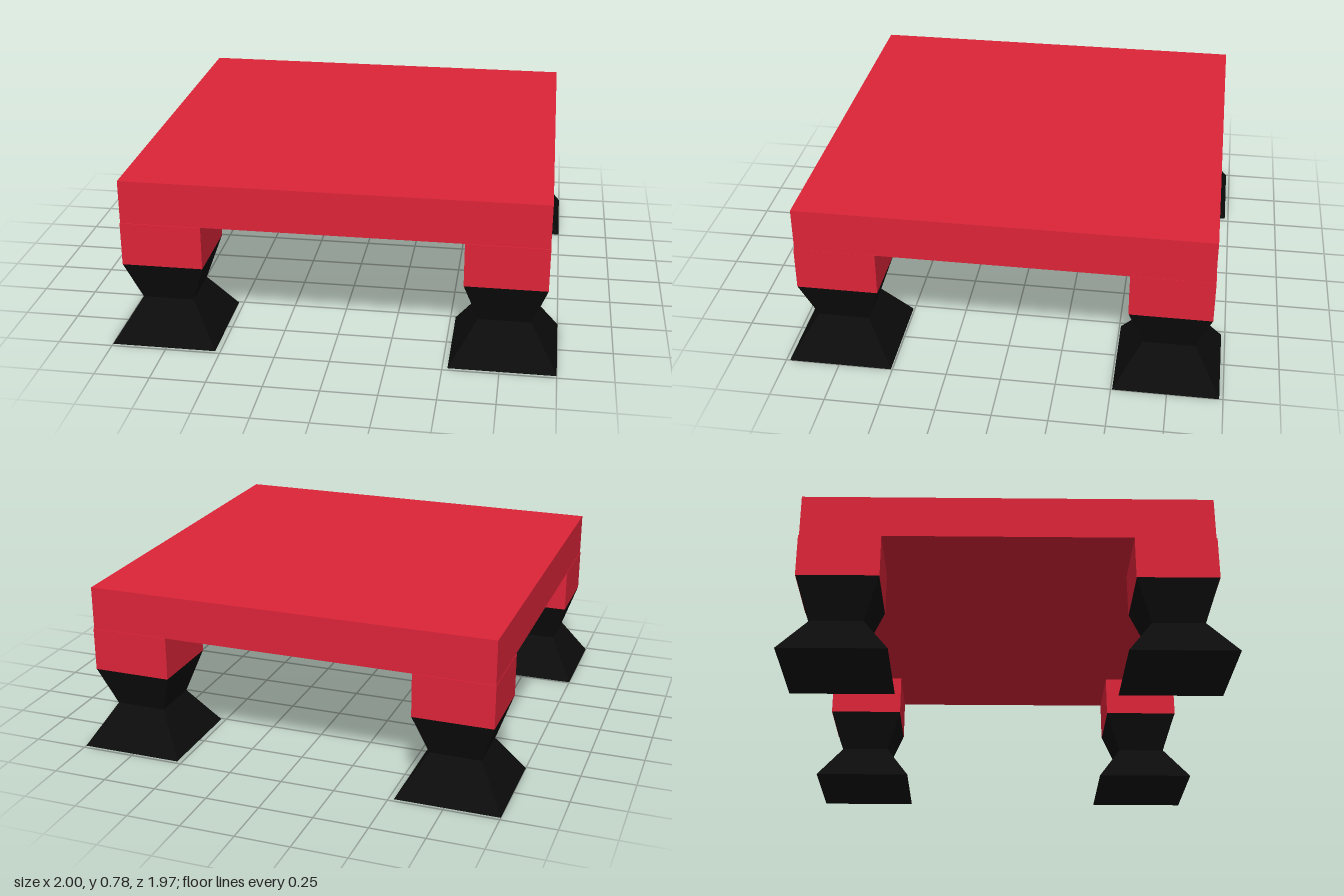
import * as THREE from 'three';

const red = new THREE.MeshStandardMaterial({ color: 0xdc2438 });
const black = new THREE.MeshStandardMaterial({ color: 0x0c0c0c, flatShading: true });

function box(name, w, h, d, x, y, z) {
  const mesh = new THREE.Mesh(new THREE.BoxGeometry(w, h, d), red);
  mesh.name = name;
  mesh.position.set(x, y, z);
  return mesh;
}

// Four-sided hourglass foot from [width, height] steps
function footGeometry() {
  const steps = [[0, 0], [0.476, 0], [0.235, 0.19], [0.365, 0.38], [0, 0.38]];
  const profile = steps.map(([w, y]) => new THREE.Vector2(w * Math.SQRT1_2, y));
  return new THREE.LatheGeometry(profile, 4, Math.PI / 4);
}

export function createModel() {
  const model = new THREE.Group();
  model.name = 'lowTable';

  // Table top
  model.add(box('tableTop', 1.886, 0.2, 1.85, 0, 0.68, 0));

  // One leg per corner: red block on a black foot
  const footShape = footGeometry();
  for (const [side, sx] of [['Left', 1], ['Right', -1]]) {
    for (const [end, sz] of [['front', 1], ['back', -1]]) {
      const leg = new THREE.Group();
      leg.name = `${end}${side}Leg`;
      leg.position.set(sx * 0.762, 0, sz * 0.745);
      const foot = new THREE.Mesh(footShape, black);
      foot.name = 'foot';
      leg.add(box('legBlock', 0.365, 0.2, 0.368, 0, 0.48, 0), foot);
      model.add(leg);
    }
  }
  return model;
}
